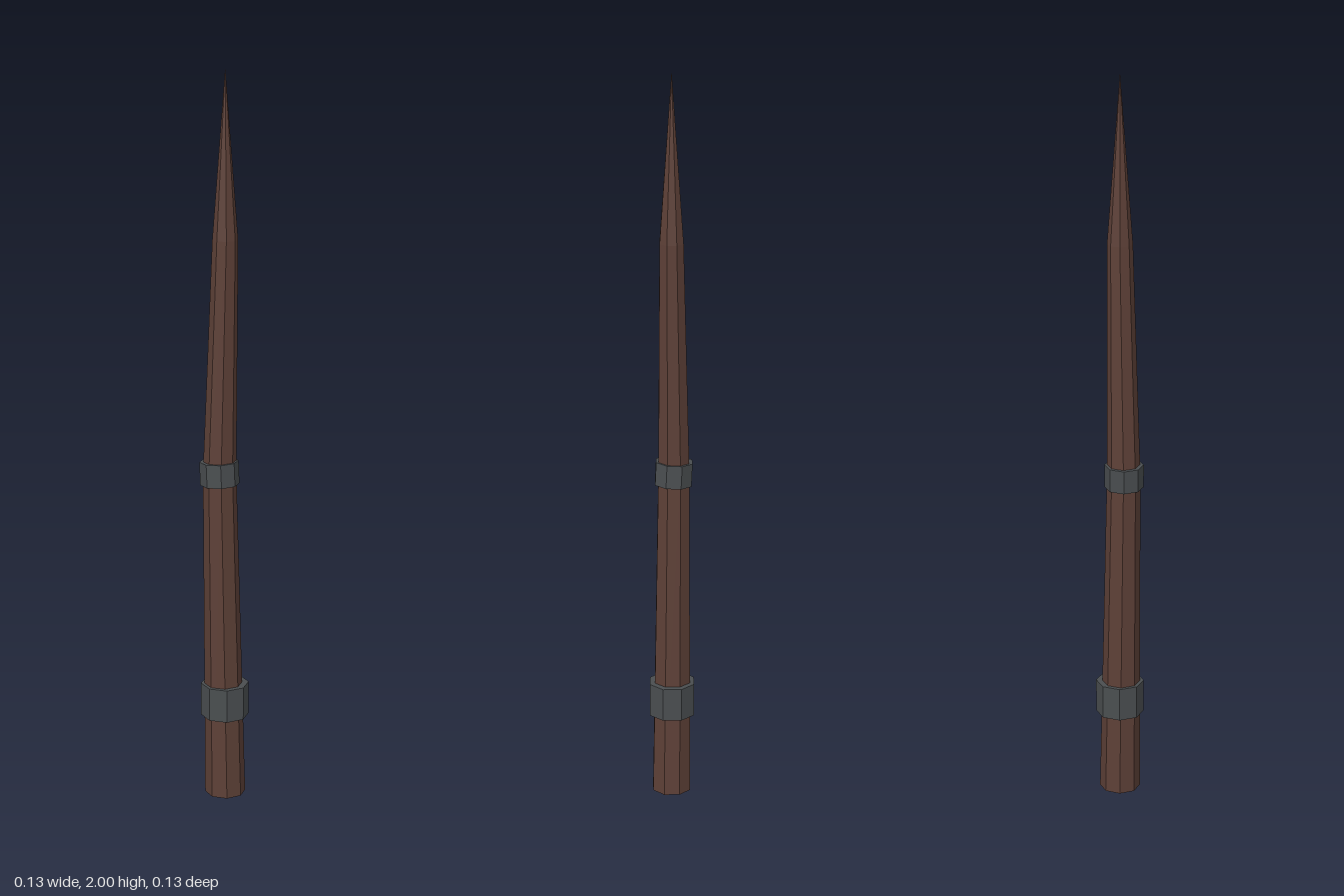
import * as THREE from 'three';

const SIDES = 8;

// Octagonal cross-sections of the bent shaft, bottom to tip
const SECTIONS = [
  { x: 0, y: 0, z: 0, r: 0.056 },
  { x: -0.01, y: 0.93, z: -0.011, r: 0.045 },
  { x: 0, y: 1.56, z: 0, r: 0.034 },
  { x: 0, y: 2, z: 0, r: 0.0005 },
];

// Turns a unit cylinder into a faceted column through the sections
function columnGeometry(sections) {
  const rows = sections.length - 1;
  const geo = new THREE.CylinderGeometry(1, 1, rows, SIDES, rows);
  const p = geo.attributes.position;
  for (let i = 0; i < p.count; i++) {
    const s = sections[Math.round(p.getY(i) + rows / 2)];
    p.setXYZ(i, s.x + p.getX(i) * s.r, s.y, s.z + p.getZ(i) * s.r);
  }
  const flat = geo.toNonIndexed();
  flat.computeVertexNormals();
  return flat;
}

export function createModel() {
  const model = new THREE.Group();
  model.name = 'sharpenedStake';

  const wood = new THREE.MeshStandardMaterial({ name: 'darkWood', color: 0x5d4037, flatShading: true });
  const iron = new THREE.MeshStandardMaterial({ name: 'greyIron', color: 0x4a4e50, flatShading: true });

  // Wooden shaft with its pointed tip
  const shaft = new THREE.Mesh(columnGeometry(SECTIONS), wood);
  shaft.name = 'shaft';
  model.add(shaft);

  // Iron bands around the shaft
  function addBand(name, radius, height, x, y, z, lean) {
    const band = new THREE.Mesh(new THREE.CylinderGeometry(radius, radius, height, SIDES), iron);
    band.name = name;
    band.position.set(x, y, z);
    band.rotation.x = lean;
    model.add(band);
  }
  addBand('lowerBand', 0.066, 0.093, 0, 0.277, -0.001, 0);
  addBand('upperBand', 0.053, 0.064, -0.011, 0.927, -0.011, -0.05);

  return model;
}
